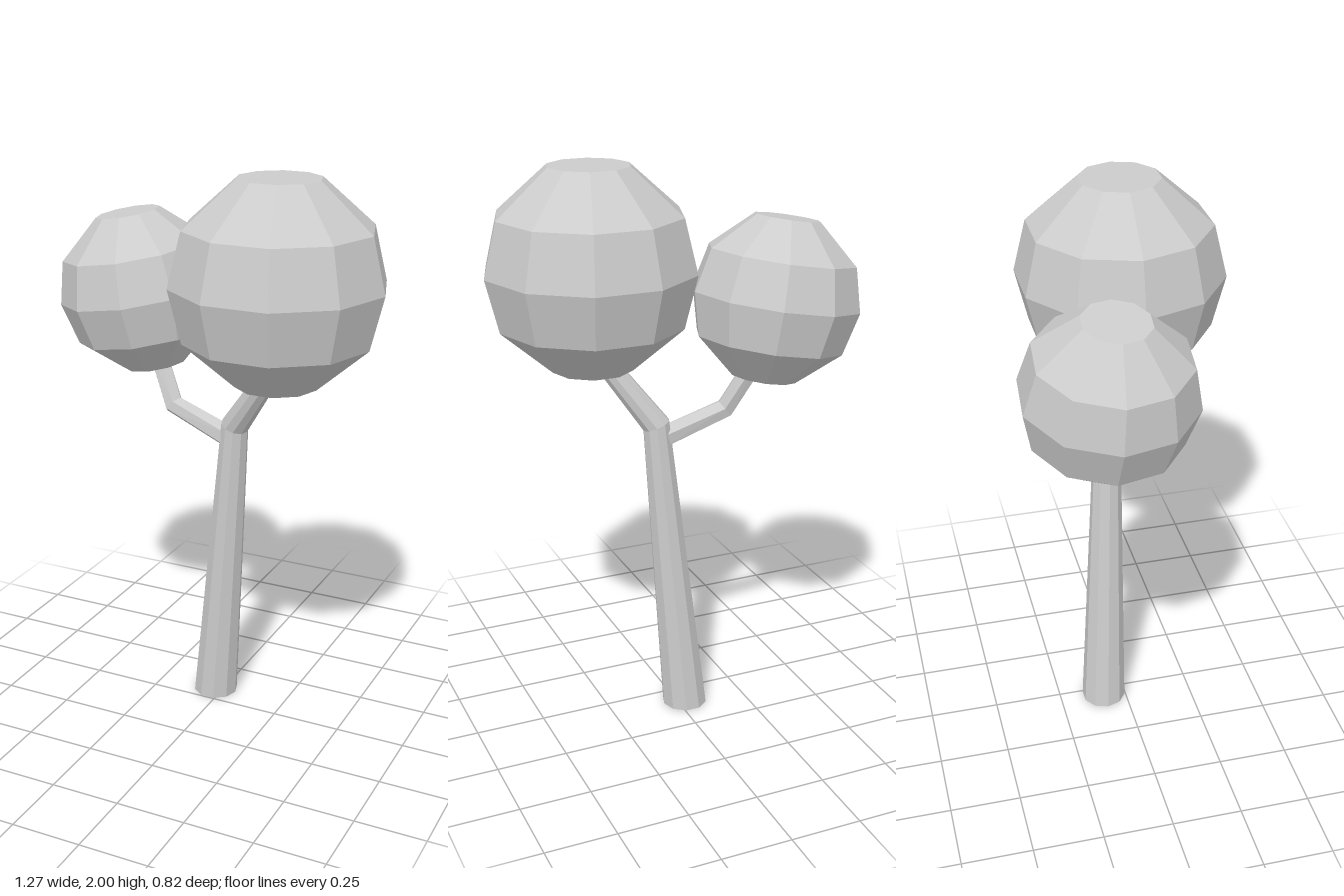
import * as THREE from 'three';

const material = new THREE.MeshStandardMaterial({ color: 0xcccccc, flatShading: true, side: THREE.DoubleSide });

function facetedMesh(geometry, name) {
  const flat = geometry.toNonIndexed();
  flat.computeVertexNormals();
  const mesh = new THREE.Mesh(flat, material);
  mesh.name = name;
  return mesh;
}

// Open limb with mitred rings; each stop is [x, y, z, radius]
function limb(stops, sides, name, firstNormal) {
  const points = stops.map(([x, y, z]) => new THREE.Vector3(x, y, z));
  const up = new THREE.Vector3(0, 1, 0);
  const positions = [], index = [];
  points.forEach((p, i) => {
    const normal = new THREE.Vector3();
    if (i > 0) normal.add(p.clone().sub(points[i - 1]).normalize());
    if (i < points.length - 1) normal.add(points[i + 1].clone().sub(p).normalize());
    if (i === 0 && firstNormal) normal.copy(firstNormal);
    const turn = new THREE.Quaternion().setFromUnitVectors(up, normal.normalize());
    for (let s = 0; s < sides; s++) {
      const a = (s / sides) * Math.PI * 2, r = stops[i][3];
      const v = new THREE.Vector3(Math.cos(a) * r, 0, Math.sin(a) * r).applyQuaternion(turn).add(p);
      positions.push(v.x, v.y, v.z);
      if (i > 0) {
        const n = (s + 1) % sides, lo = (i - 1) * sides, hi = i * sides;
        index.push(lo + s, hi + s, hi + n, lo + s, hi + n, lo + n);
      }
    }
  });
  const geometry = new THREE.BufferGeometry();
  geometry.setAttribute('position', new THREE.Float32BufferAttribute(positions, 3));
  geometry.setIndex(index);
  return facetedMesh(geometry, name);
}

// Ten-sided leaf ball with flat top and bottom
function leafBall(radius, name) {
  const profile = [[0, -0.93], [0.39, -0.93], [0.875, -0.505], [1, 0], [0.875, 0.51], [0.386, 0.946], [0, 0.946]]
    .map(([r, y]) => new THREE.Vector2(r * radius, y * radius));
  return facetedMesh(new THREE.LatheGeometry(profile, 10, Math.PI / 2), name);
}

export function createModel() {
  const tree = new THREE.Group();
  tree.name = 'tree';

  // Leaning trunk that bends into the upper branch
  tree.add(limb([
    [-0.03, 0, -0.082, 0.082],
    [0.063, 1.1, -0.04, 0.05],
    [0.24, 1.35, 0.035, 0.036],
  ], 10, 'trunk', new THREE.Vector3(0, 1, 0)));

  // Crooked side branch
  tree.add(limb([
    [0.06, 1.045, -0.042, 0.042],
    [-0.19, 1.135, -0.065, 0.037],
    [-0.285, 1.32, -0.118, 0.035],
  ], 6, 'sideBranch'));

  // Foliage
  const large = leafBall(0.37, 'largeFoliage');
  large.position.set(0.26, 1.65, 0.055);
  const small = leafBall(0.297, 'smallFoliage');
  small.position.set(-0.345, 1.53, -0.127);
  small.rotation.set(0.06, -0.07, 0.17);
  tree.add(large, small);

  return tree;
}
